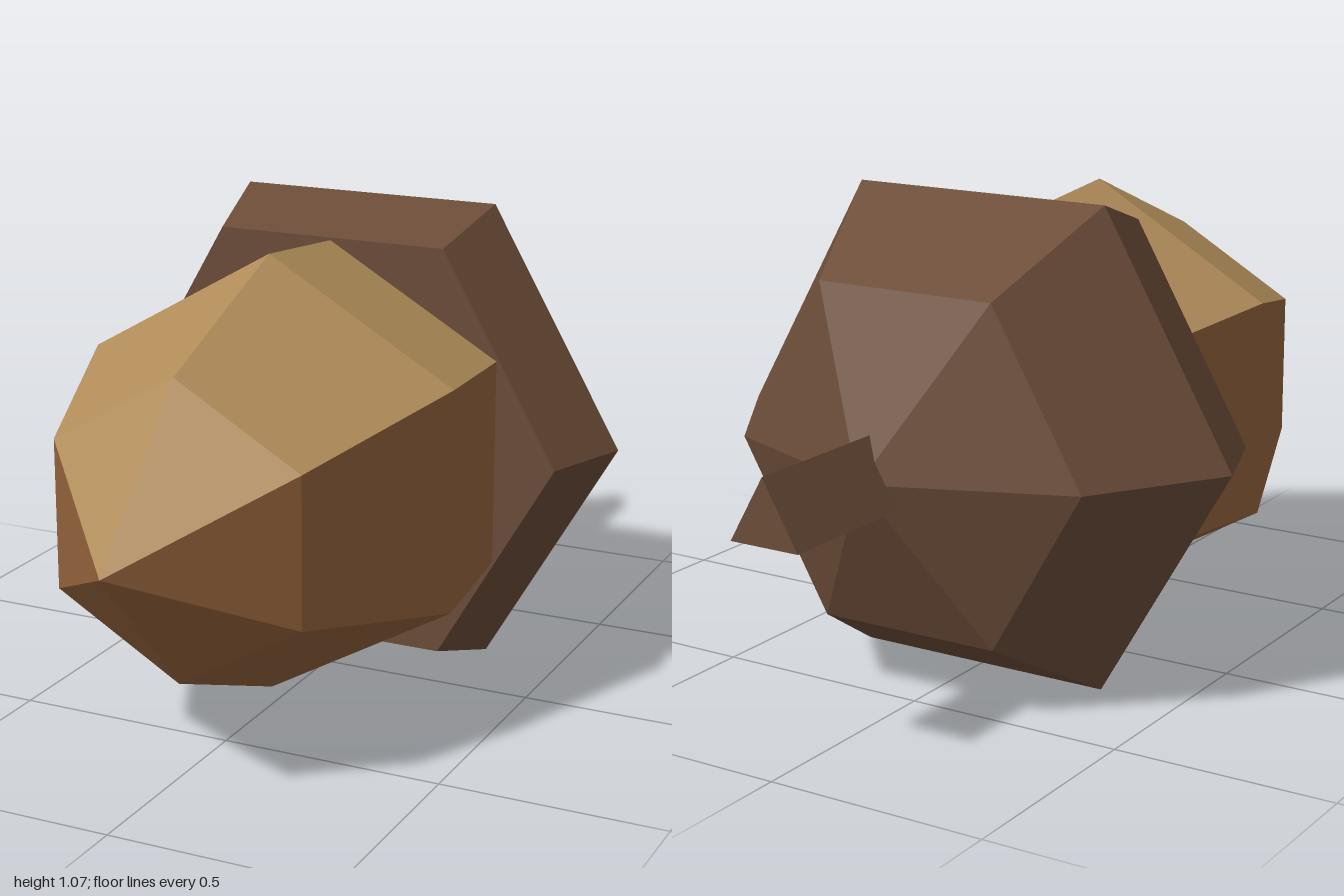
import * as THREE from 'three';

const material = (name, color) => {
  const m = new THREE.MeshStandardMaterial({ color, flatShading: true });
  m.name = name;
  return m;
};

export function createModel() {
  const tan = material('tan shell', 0xb08c59);
  const brown = material('brown shell', 0x93623b);
  const darkBrown = material('dark brown cap', 0x6b4c38);

  const group = new THREE.Group();
  group.name = 'acorn';
  const CENTRE_Y = 0.537;

  // Everything is turned around an axis that runs along z
  const add = (name, geometry, mat) => {
    geometry.rotateX(Math.PI / 2);
    const mesh = new THREE.Mesh(geometry, mat);
    mesh.name = name;
    mesh.position.y = CENTRE_Y;
    group.add(mesh);
  };

  // Profiles are [radius, z] from back to front; angle 0 points down
  const turned = (profile, sides, start, length) => new THREE.LatheGeometry(
    profile.map(([r, z]) => new THREE.Vector2(r, z)), sides, start, length);

  // Nut: two tan sectors on top, four brown sectors below
  const nut = [[0.465, -0.03], [0.468, 0], [0.495, 0.28], [0.328, 0.7], [0, 1]];
  const third = Math.PI * 2 / 3;
  add('nutTop', turned(nut, 2, third, third), tan);
  add('nutBody', turned(nut, 4, 2 * third, 2 * third), brown);

  // Cap: six-sided cup with a flat underside facing the nut
  const cap = [[0, -0.69], [0.43, -0.52], [0.62, -0.23], [0.545, -0.02], [0, -0.02]];
  add('cap', turned(cap, 6, Math.PI / 6, Math.PI * 2), darkBrown);

  // Stem: three-sided bar with its ridge on top
  const stem = new THREE.CylinderGeometry(0.095, 0.095, 0.4, 3, 1, false, Math.PI);
  stem.translate(0, -0.8, 0);
  add('stem', stem, darkBrown);

  return group;
}
